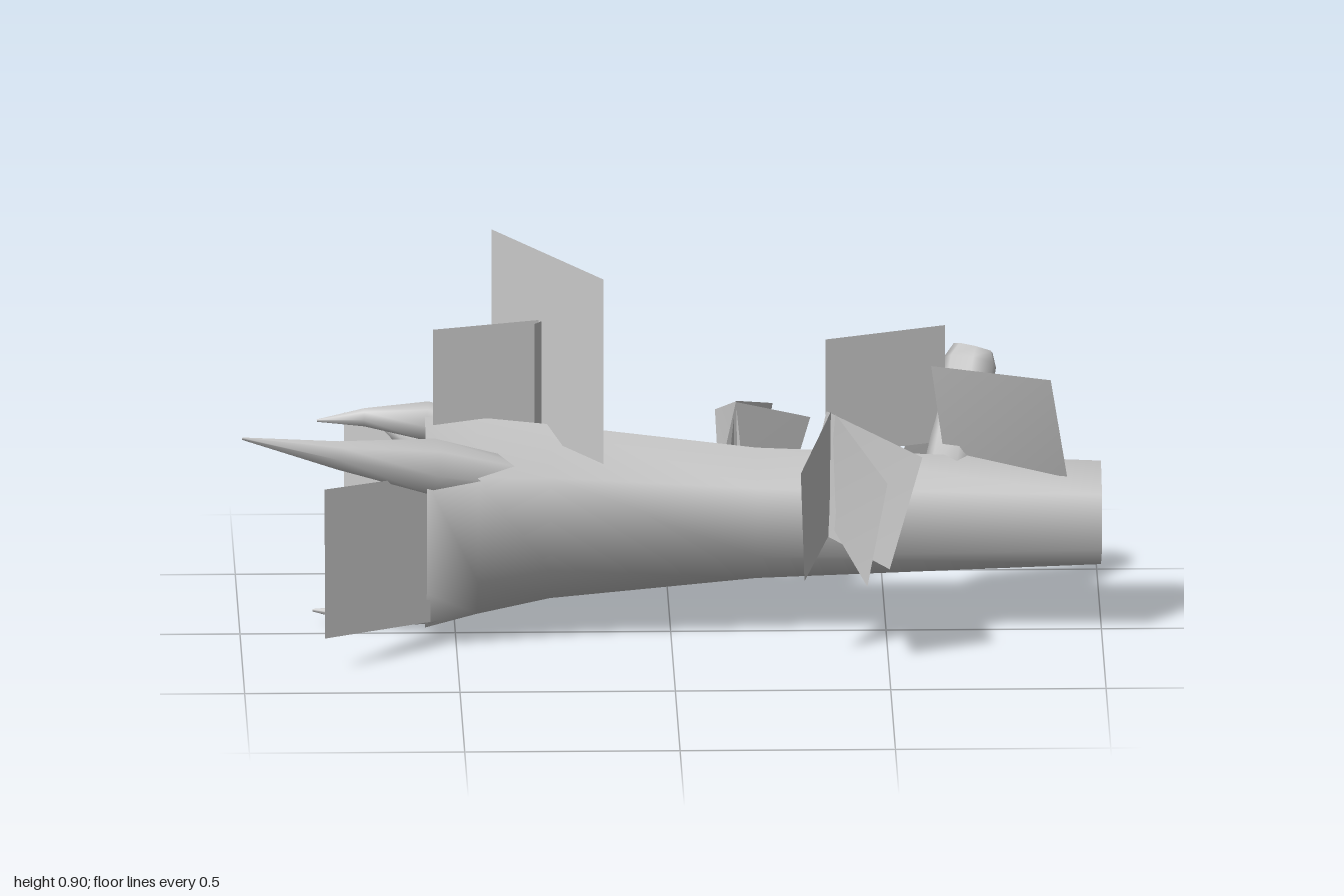
import * as THREE from 'three';

const V = (p) => new THREE.Vector3(...p);

// Smooth closed skin over rings that turn right-handed about the path
function loft(rings, startCentre, endCentre) {
  const n = rings[0].length, last = (rings.length - 1) * n;
  const points = [...rings.flat(), startCentre, endCentre];
  const idx = [];
  for (let j = 0; j < n; j++) {
    const k = (j + 1) % n;
    for (let i = 0; i < last; i += n) {
      idx.push(i + j, i + k, i + n + k, i + j, i + n + k, i + n + j);
    }
    idx.push(k, j, last + n, last + j, last + k, last + n + 1);
  }
  const g = new THREE.BufferGeometry().setFromPoints(points);
  g.setIndex(idx);
  g.computeVertexNormals();
  return g;
}

// Tapered limb along points [x, y, z, radius]
function limb(points, sides = 7) {
  const c = points.map((p) => V(p.slice(0, 3)));
  const rings = points.map((p, i) => {
    const t = c[Math.min(i + 1, c.length - 1)].clone().sub(c[Math.max(i - 1, 0)]).normalize();
    const u = new THREE.Vector3(0, 0, 1).addScaledVector(t, -t.z).normalize();
    const w = t.clone().cross(u);
    return Array.from({ length: sides }, (_, j) => {
      const a = (j / sides) * Math.PI * 2;
      return c[i].clone().addScaledVector(u, Math.cos(a) * p[3]).addScaledVector(w, Math.sin(a) * p[3]);
    });
  });
  return loft(rings, c[0], c[c.length - 1]);
}

// Flat four-cornered foliage card
function card(corners) {
  const g = new THREE.BufferGeometry();
  g.setAttribute('position', new THREE.Float32BufferAttribute(corners.flat(), 3));
  g.setIndex([0, 1, 2, 0, 2, 3]);
  g.computeVertexNormals();
  return g;
}

// Upright card standing on a line from (x0, z0) to (x1, z1)
const upright = (x0, z0, x1, z1, y0, y1) =>
  [[x0, y0, z0], [x1, y0, z1], [x1, y1, z1], [x0, y1, z0]];

export function createModel() {
  const model = new THREE.Group();
  const grey = new THREE.MeshStandardMaterial({ color: 0xcccccc, side: THREE.DoubleSide });
  grey.name = 'grey';
  const add = (name, geometry, parent = model) => {
    const m = new THREE.Mesh(geometry, grey);
    m.name = name;
    parent.add(m);
  };

  // Six-sided trunk, flaring towards the roots: x, centre z, half width, bottom, top
  const stations = [
    [-0.57, -0.03, 0.2, 0.01, 0.525],
    [-0.45, -0.038, 0.183, 0.04, 0.515],
    [-0.28, -0.045, 0.16, 0.075, 0.495],
    [0.2, -0.047, 0.125, 0.12, 0.435],
    [1, -0.042, 0.115, 0.15, 0.4],
  ];
  const hexagon = [[1, 0], [0.8, 1], [0.27, 1], [0, 0], [0.27, -1], [0.8, -1]];
  const rings = stations.map(([x, zc, w, y0, y1]) =>
    hexagon.map(([h, s]) => V([x, y0 + (y1 - y0) * h, zc + s * w])));
  add('trunk', loft(rings, V([-0.5, 0.27, -0.04]), V([1, 0.28, -0.042])));

  // Pointed broken roots
  add('frontRoot', limb([[-0.3, 0.38, 0.04, 0.04], [-0.56, 0.44, 0.12, 0.068],
    [-0.78, 0.49, 0.19, 0.034], [-1, 0.553, 0.262, 0.003]]));
  add('backRoot', limb([[-0.3, 0.36, -0.1, 0.04], [-0.54, 0.405, -0.185, 0.065],
    [-0.61, 0.42, -0.235, 0.035], [-0.67, 0.43, -0.28, 0.003]]));
  add('topRoot', limb([[-0.32, 0.43, -0.06, 0.045], [-0.57, 0.5, -0.06, 0.047],
    [-0.71, 0.508, -0.065, 0.022], [-0.82, 0.5, -0.07, 0.003]]));
  add('bottomRoot', limb([[-0.35, 0.15, -0.04, 0.05], [-0.57, 0.065, -0.045, 0.054],
    [-0.7, 0.032, -0.055, 0.027], [-0.83, 0.042, -0.07, 0.003]]));

  // Stub of a branch with a bevelled end
  add('branch', limb([[0.65, 0.32, -0.06, 0.075], [0.675, 0.46, -0.13, 0.063],
    [0.7, 0.595, -0.202, 0.064], [0.708, 0.625, -0.214, 0.048]]));

  // Foliage cards in crossed clumps
  const clumps = {
    topFoliage: [
      upright(-0.41, -0.255, -0.16, 0.17, 0.46, 0.906),
      upright(-0.552, 0, -0.26, -0.09, 0.455, 0.738),
      upright(-0.315, -0.043, -0.16, -0.26, 0.45, 0.738),
    ],
    frontFoliage: [
      [[0.495, 0.47, 0.385], [0.38, 0.56, 0.11], [0.36, 0.29, 0.03], [0.45, 0.2, 0.31]],
      [[0.295, 0.48, 0.33], [0.37, 0.56, 0.09], [0.39, 0.28, 0], [0.305, 0.2, 0.26]],
      [[0.58, 0.48, 0.2], [0.36, 0.56, 0.085], [0.3, 0.28, 0.04], [0.505, 0.2, 0.165]],
    ],
    backFoliage: [
      [[0.245, 0.445, -0.385], [0.155, 0.51, -0.18], [0.13, 0.3, -0.12], [0.21, 0.255, -0.325]],
      [[0.33, 0.445, -0.265], [0.155, 0.51, -0.17], [0.11, 0.31, -0.15], [0.27, 0.25, -0.24]],
      [[0.11, 0.445, -0.335], [0.155, 0.51, -0.175], [0.175, 0.31, -0.12], [0.12, 0.25, -0.28]],
    ],
    branchFoliage: [
      upright(0.36, -0.03, 0.64, -0.145, 0.42, 0.7),
      [[0.88, 0.64, 0.115], [0.605, 0.64, -0.01], [0.64, 0.38, -0.075], [0.92, 0.38, 0.02]],
      [[0.83, 0.475, -0.32], [0.63, 0.61, -0.19], [0.54, 0.4, -0.115], [0.74, 0.28, -0.255]],
    ],
    rootFoliage: [
      [[-0.81, 0.44, 0.3], [-0.56, 0.42, 0.11], [-0.56, 0.07, 0.13], [-0.81, 0.09, 0.335]],
      upright(-0.75, -0.378, -0.5, -0.14, 0.107, 0.43),
    ],
  };
  for (const [name, cards] of Object.entries(clumps)) {
    const clump = new THREE.Group();
    clump.name = name;
    cards.forEach((corners, i) => add(`${name}Card${i + 1}`, card(corners), clump));
    model.add(clump);
  }
  return model;
}
